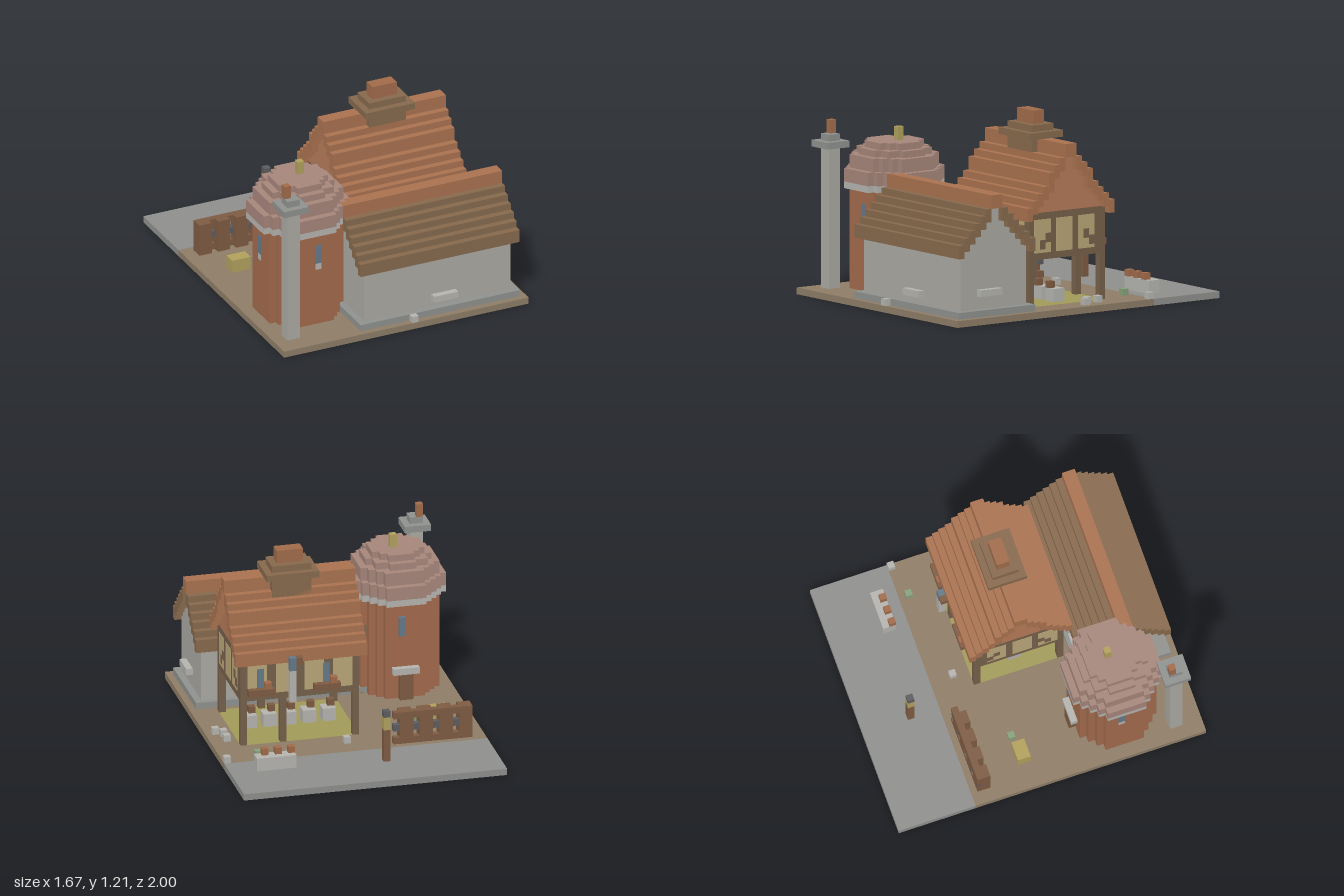
import * as THREE from 'three';

const U = 1 / 24; // one block
const C = {
  earth: 0x8d7c66, paving: 0x8e8e8c, straw: 0xa09a58, stone: 0xaaa8a2, stoneDark: 0x8f918f, stoneLight: 0xb4b3ae,
  brick: 0xa26a4c, dome: 0xa5857a, tile: 0xa8714f, shingle: 0x86694d, gable: 0xb57a58, timber: 0x76604a,
  plaster: 0xb9a678, glass: 0x64788a, hay: 0xb0a05c, leaf: 0x86a07a, iron: 0x5c5c60, wood: 0x7d5b42, clay: 0xa06b4a,
};
const materials = {};
const mat = (name) => (materials[name] ??= new THREE.MeshStandardMaterial({ color: C[name], flatShading: true, side: THREE.DoubleSide }));

// Removes the downward faces at the lowest level, leaving a hollow shell
function openBottom(geo) {
  const g = geo.index ? geo.toNonIndexed() : geo;
  g.computeBoundingBox();
  const p = g.attributes.position, low = g.boundingBox.min.y + 1e-4, keep = [];
  for (let i = 0; i < p.count; i += 3) {
    if (p.getY(i) < low && p.getY(i + 1) < low && p.getY(i + 2) < low) continue;
    for (let k = i; k < i + 3; k++) keep.push(p.getX(k), p.getY(k), p.getZ(k));
  }
  const out = new THREE.BufferGeometry();
  out.setAttribute('position', new THREE.Float32BufferAttribute(keep, 3));
  out.computeVertexNormals();
  return out;
}

// Stepped outline of a round plan in blocks
function discPoints(cx, cz, r) {
  const quarter = [];
  for (let j = 0; j < r; j++) {
    const w = Math.floor(Math.sqrt((r + 0.1) ** 2 - (j + 0.5) ** 2) + 0.5);
    quarter.push([w, j], [w, j + 1]);
  }
  quarter.push([0, r]);
  const back = [...quarter].reverse();
  return [...quarter, ...back.map(([x, z]) => [-x, z]), ...quarter.map(([x, z]) => [-x, -z]), ...back.map(([x, z]) => [x, -z])]
    .filter(([x, z], i, a) => !i || x !== a[i - 1][0] || z !== a[i - 1][1])
    .slice(0, -1)
    .map(([x, z]) => new THREE.Vector2(cx + x, cz + z));
}
const rectPoints = (x0, x1, z0, z1) => [[x0, z0], [x1, z0], [x1, z1], [x0, z1]].map((p) => new THREE.Vector2(...p));

// Plan outline raised from y0 to y1
function planGeo(points, y0, y1, holes = []) {
  const s = new THREE.Shape(points);
  holes.forEach((h) => s.holes.push(new THREE.Path(h)));
  return new THREE.ExtrudeGeometry(s, { depth: y1 - y0, bevelEnabled: false }).rotateX(Math.PI / 2).translate(0, y1, 0);
}

// Stepped gable body along x; levels are [bottom y, half depth], last level ends at top
function gableGeo(x0, x1, cz, levels, top) {
  const side = [];
  levels.forEach(([y, hw], i) => side.push([hw, y], [hw, i + 1 < levels.length ? levels[i + 1][0] : top]));
  const pts = [...side, ...side.map(([z, y]) => [-z, y]).reverse()].map(([z, y]) => new THREE.Vector2(cz + z, y));
  return new THREE.ExtrudeGeometry(new THREE.Shape(pts), { depth: x1 - x0, bevelEnabled: false })
    .rotateY(-Math.PI / 2).translate(x1, 0, 0);
}

export function createModel() {
  const model = new THREE.Group();
  model.name = 'farmstead';
  model.scale.setScalar(U);
  const add = (name, color, geo, parent = model) => {
    const m = new THREE.Mesh(geo, mat(color));
    m.name = name;
    parent.add(m);
    return m;
  };
  const box = (name, color, x0, x1, y0, y1, z0, z1, parent) =>
    add(name, color, new THREE.BoxGeometry(x1 - x0, y1 - y0, z1 - z0).translate((x0 + x1) / 2, (y0 + y1) / 2, (z0 + z1) / 2), parent);
  const group = (name) => {
    const g = new THREE.Group();
    g.name = name;
    model.add(g);
    return g;
  };

  // Ground slab, open below, with hollows under the house and tower
  const holes = [rectPoints(-5.95, 18, 10, 22), discPoints(-12, 12, 6)];
  add('yard', 'earth', openBottom(planGeo(rectPoints(-20, 20, -12, 24), 0, 1, holes)));
  add('road', 'paving', openBottom(planGeo(rectPoints(-20, 20, -24, -12), 0, 1)));
  box('strawFloor', 'straw', -2, 16, 0.98, 1.03, -6, 8);

  // Stone house
  const house = group('stoneHouse');
  add('walls', 'stone', openBottom(gableGeo(-6, 18, 16,
    [[1, 6], [11, 5], [12, 4], [13, 3], [14, 2], [15, 1]], 17)), house);
  add('footing', 'stoneDark', planGeo(rectPoints(-7, 19, 9, 23), 1, 2, [rectPoints(-6, 18, 10, 22)]), house);
  for (let i = 0; i < 6; i++) {
    box('roofCourse', 'shingle', -7, 19, 10 + i, 12 + i, 22 - i, 23 - i, house);
    box('roofCourse', 'shingle', -7, 19, 10 + i, 12 + i, 9 + i, 10 + i, house);
  }
  box('ridge', 'tile', -7, 19, 17, 19, 15, 17, house);
  box('frontLedge', 'stoneLight', 5, 9, 3, 4, 22, 23, house);
  box('gableLedge', 'stoneLight', 18, 19, 4, 5, 15, 19, house);
  box('backLedge', 'stoneLight', -4, -1, 6, 7, 9, 10, house);
  box('backLedge', 'stoneLight', 4, 8, 3, 4, 9, 10, house);
  box('backWindow', 'glass', -3, -2, 7, 9, 9.9, 10, house);

  // Round tower with stepped dome
  const tower = group('tower');
  add('towerWall', 'brick', openBottom(planGeo(discPoints(-12, 12, 6), 1, 16)), tower);
  add('cornice', 'stoneLight', planGeo(discPoints(-12, 12, 7), 16, 17), tower);
  [[7, 17, 19], [6, 19, 21], [5, 21, 22], [4, 22, 23]].forEach(([r, a, b]) =>
    add('domeCourse', 'dome', planGeo(discPoints(-12, 12, r), a, b), tower));
  box('finial', 'hay', -12, -11, 23, 25, 11, 12, tower);
  box('frontWindow', 'glass', -12, -11, 11, 14, 18, 18.05, tower);
  box('frontSill', 'stoneLight', -12, -11, 10, 11, 18, 18.05, tower);
  box('sideWindow', 'glass', -18.05, -18, 11, 14, 11, 12, tower);
  box('sideSill', 'stoneLight', -18.05, -18, 10, 11, 11, 12, tower);
  box('backWindow', 'glass', -12, -11, 11, 14, 5.5, 6, tower);
  box('door', 'wood', -13, -11, 1, 5, 5, 6, tower);
  box('doorCanopy', 'stoneLight', -14, -10, 5, 6, 5, 6, tower);

  // Tall chimney beside the tower
  const stack = group('tallChimney');
  box('shaft', 'stone', -18, -16, 1, 22, 19, 21, stack);
  box('cap', 'stoneDark', -19, -15, 22, 23, 18, 22, stack);
  box('neck', 'stoneDark', -18, -16, 23, 24, 19, 21, stack);
  box('pot', 'clay', -18, -17, 24, 26, 19, 20, stack);

  // Timber house raised on posts
  const barn = group('timberHouse');
  [[-2, -6], [15, -6], [-2, 7], [15, 7], [9, -6], [9, 7]].forEach(([x, z]) => box('post', 'timber', x, x + 1, 1, 8, z, z + 1, barn));
  box('frame', 'timber', -2, 16, 8, 15, -6, 8, barn);
  add('gable', 'gable', gableGeo(-2, 16, 1,
    [[15, 6], [16, 5], [17, 4], [18, 3], [20, 2], [21, 1]], 23), barn);
  // Plaster panels with braces on both gable ends
  for (const [a, b] of [[16, 16.05], [-2.05, -2]]) {
    for (const z of [-4, 0, 4]) box('sidePanel', 'plaster', a, b, 9, 14, z, z + 3, barn);
    for (const s of [-1, 1]) {
      [[4, 10.5], [5, 9.5]].forEach(([d, y]) => {
        const z = s > 0 ? d : 1 - d;
        box('brace', 'timber', a - 0.03, b + 0.03, y, y + 1.4, z, z + 1, barn);
      });
    }
  }
  for (let i = 0; i < 4; i++) {
    const x = -1 + i * 4.33;
    box('backPanel', 'plaster', x, x + 3, 9, 14, -6.05, -6, barn);
    box('frontPanel', 'plaster', x, x + 3, 9, 14, 8, 8.05, barn);
  }
  for (const x of [3, 13]) {
    box('window', 'glass', x - 0.5, x + 0.5, 10, 13, -6.1, -6, barn);
    box('flowerBox', 'wood', x - 2, x + 2, 9, 10, -7, -6, barn);
    box('flower', 'clay', x - 1.5, x - 0.5, 10, 11, -7, -6, barn);
  }
  // Roof courses mirrored about the ridge: [outer distance, bottom, top]
  [[2, 21, 23], [3, 20, 22], [4, 18, 21], [5, 17, 19], [6, 16, 18], [7, 15, 17], [8, 14, 16]].forEach(([d, a, b]) => {
    box('roofCourse', 'tile', -3, 17, a, b, d, d + 1, barn);
    box('roofCourse', 'tile', -3, 17, a, b, 1 - d, 2 - d, barn);
  });
  box('ridge', 'tile', -3, 17, 23, 25, 0, 2, barn);
  box('ventBase', 'shingle', 4, 10, 22, 25, -1, 3, barn);
  box('ventPlate', 'shingle', 3, 11, 25, 26, -2, 4, barn);
  box('ventStep', 'shingle', 4, 10, 26, 27, -1, 3, barn);
  box('ventTop', 'clay', 5, 9, 27, 29, 0, 2, barn);
  box('hangingBracket', 'wood', 7, 8, 14, 15, -8, -7, barn);
  box('hangingBanner', 'stoneLight', 8, 9, 8, 13, -8, -7, barn);
  box('bannerTop', 'glass', 8, 9, 13, 15, -8, -7, barn);

  // Stalls in the open ground floor
  const stalls = group('stalls');
  for (let i = 0; i < 5; i++) {
    const x = 3 * i;
    box('stall', 'stoneLight', x, x + 2, 1, 3, 0, 2, stalls);
    box('stallGoods', 'wood', x, x + 1, 3, 4, 1, 2, stalls);
  }

  // Lamp post by the road
  const lamp = group('lampPost');
  box('pole', 'wood', -4, -3, 1, 6, -17, -16, lamp);
  box('light', 'hay', -4, -3, 6, 8, -17, -16, lamp);
  box('lampCap', 'iron', -4, -3, 8, 9, -17, -16, lamp);

  // Trough with plants
  const trough = group('trough');
  box('basin', 'stoneLight', 10, 16, 1, 3, -16, -14, trough);
  for (const x of [10, 12, 14]) box('plant', 'clay', x, x + 1, 3, 4, -15, -14, trough);

  // Fence rack
  const fence = group('fence');
  for (const x of [-18, -15, -12, -9]) box('fencePost', 'wood', x, x + 2, 1, 6, -11, -9, fence);
  box('topRail', 'wood', -18, -6, 5, 6, -11, -10, fence);
  box('midRail', 'iron', -18, -6, 3, 4, -10.9, -10, fence);
  box('lowRail', 'wood', -18, -6, 1, 2, -11, -10, fence);

  // Loose items in the yard
  const yard = group('yardItems');
  box('hayBale', 'hay', -16, -13, 1, 3, -4, -2, yard);
  for (const [x, z] of [[-12, -4], [14, -11]]) box('bush', 'leaf', x, x + 1, 1, 2, z, z + 1, yard);
  for (const [x, z] of [[0, -9], [17, -4], [17, -2], [18, -1], [19, -12], [1, 23]]) box('rock', 'stoneLight', x, x + 1, 1, 2, z, z + 1, yard);

  return model;
}
